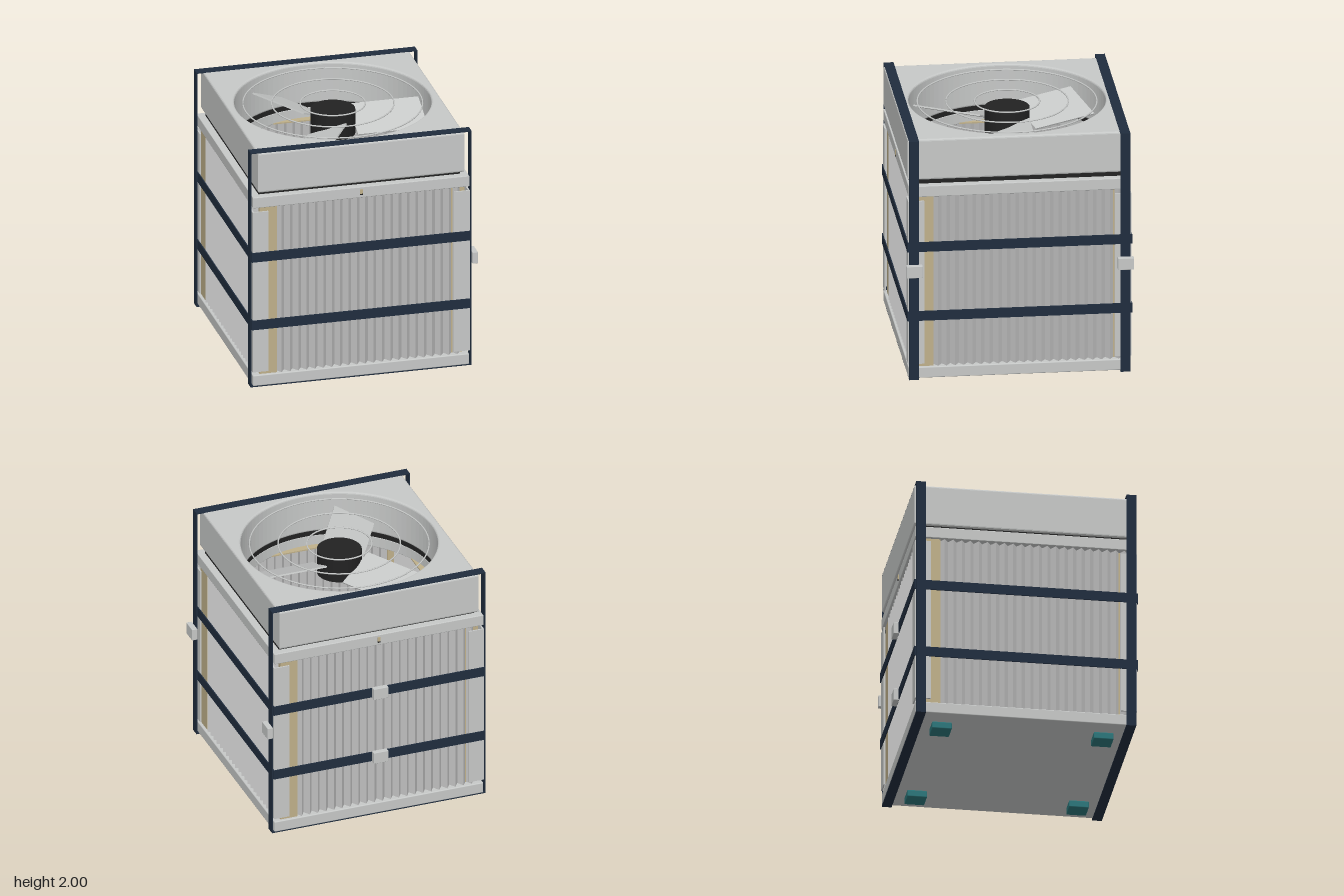
import * as THREE from 'three';
import { RoundedBoxGeometry } from 'three/addons/geometries/RoundedBoxGeometry.js';

const mat = (name, color) => new THREE.MeshStandardMaterial({ name, color });

export function createModel() {
  const casing = mat('casing grey', 0xc6c8c7);
  const fin = mat('aluminium fins', 0xc8c8c8);
  const tan = mat('tan coil frame', 0xbfb08a);
  const navy = mat('navy strap', 0x202d3e);
  const black = mat('black', 0x222222);
  const teal = mat('teal rubber', 0x2c767a);

  const model = new THREE.Group();
  model.name = 'condenserUnit';
  const unit = new THREE.Group();
  unit.name = 'unit';
  unit.position.set(-0.024, 0, 0.01);
  model.add(unit);

  const add = (parent, name, geometry, material) => {
    const mesh = new THREE.Mesh(geometry, material);
    mesh.name = name;
    parent.add(mesh);
    return mesh;
  };
  // Box given by its limits on each axis
  const box = (parent, name, [x0, x1], [y0, y1], [z0, z1], material, r = 0) => {
    const s = [x1 - x0, y1 - y0, z1 - z0];
    const g = r ? new RoundedBoxGeometry(...s, 2, r) : new THREE.BoxGeometry(...s);
    add(parent, name, g, material).position.set((x0 + x1) / 2, (y0 + y1) / 2, (z0 + z1) / 2);
  };
  const rect = (Type, w, h) => new Type([[-w, -h], [w, -h], [w, h], [-w, h]].map(p => new THREE.Vector2(...p)));
  // Upright slab with plan shape, between two heights
  const slab = (parent, name, shape, y0, y1, material, bevel = 0) => {
    const g = new THREE.ExtrudeGeometry(shape, {
      depth: y1 - y0 - 2 * bevel, curveSegments: 48, bevelEnabled: bevel > 0,
      bevelSize: bevel, bevelThickness: bevel, bevelOffset: -bevel, bevelSegments: 3,
    });
    g.rotateX(Math.PI / 2).translate(0, y1 - bevel, 0);
    return add(parent, name, g, material);
  };
  const plateWithBore = (w, d) => {
    const s = rect(THREE.Shape, w, d);
    s.holes.push(new THREE.Path().absarc(0, 0, 0.757, 0, Math.PI * 2, true));
    return s;
  };
  const band = (w, h, t) => {
    const s = rect(THREE.Shape, w, h);
    s.holes.push(rect(THREE.Path, w - t, h - t));
    return s;
  };

  // Base, upper tray, dark neck and fan cowl
  box(unit, 'basePan', [-0.858, 0.858], [0.056, 0.145], [-0.858, 0.858], casing, 0.008);
  slab(unit, 'upperTray', plateWithBore(0.858, 0.858), 1.538, 1.628, casing, 0.006);
  slab(unit, 'neck', plateWithBore(0.8, 0.8), 1.628, 1.665, black);
  slab(unit, 'fanCowl', plateWithBore(0.818, 0.86), 1.662, 1.994, casing, 0.016);

  // Zigzag plan section of one fin panel
  const periods = 22, start = -0.662, step = (0.8 - start) / periods;
  const outer = [], inner = [];
  for (let i = 0; i <= periods * 2; i++) {
    const t = start + i * step / 2, d = (i % 2) * 0.05;
    outer.push(new THREE.Vector2(t, 0.793 + d));
    if (t < 0.7) inner.push(new THREE.Vector2(t, 0.705 + d));
  }
  const finShape = new THREE.Shape([...inner, ...outer.reverse()]);

  // Four sides, each turned a quarter
  for (let k = 0; k < 4; k++) {
    const side = new THREE.Group();
    side.name = 'coilSide';
    side.rotation.y = k * Math.PI / 2;
    unit.add(side);
    slab(side, 'fins', finShape, 0.14, 1.54, fin);
    box(side, 'coilEnd', [-0.8, -0.662], [0.14, 1.545], [0.7, 0.835], tan);
    box(side, 'coilTopRail', [-0.8, 0.7], [1.538, 1.548], [0.7, 0.835], tan);
    for (const s of [-1, 1]) {
      const a = s * 0.737, b = s * 0.862;
      box(side, 'cornerPost', [Math.min(a, b), Math.max(a, b)], [0.174, 1.506], [0.85, 0.862], casing);
    }
    if (k % 2 === 0) {
      box(side, 'tag', [-0.011, 0.011], [1.565, 1.608], [0.855, 0.863], tan);
      box(side, 'tagBase', [-0.011, 0.011], [1.562, 1.572], [0.855, 0.865], black);
    }
  }

  // Fan hub and pitched blades
  add(unit, 'fanHub', new THREE.CylinderGeometry(0.173, 0.173, 0.2, 40), black).position.y = 1.83;
  for (let i = 0; i < 3; i++) {
    const arm = new THREE.Group();
    arm.name = 'fanBlade';
    arm.position.y = 1.82;
    arm.rotation.y = i * Math.PI * 2 / 3;
    unit.add(arm);
    const blade = add(arm, 'blade', new THREE.BoxGeometry(0.558, 0.012, 0.335), casing);
    blade.position.x = 0.439;
    blade.rotation.x = 0.4;
  }

  // Wire guard rings
  for (const r of [0.25, 0.47, 0.69]) {
    const ring = add(unit, 'guardRing', new THREE.TorusGeometry(r, 0.006, 8, 64), casing);
    ring.rotation.x = Math.PI / 2;
    ring.position.y = 1.975;
  }

  // Feet
  for (const x of [-0.628, 0.628]) for (const z of [-0.628, 0.628]) {
    box(unit, 'foot', [x - 0.077, x + 0.077], [0, 0.056], [z - 0.077, z + 0.077], teal, 0.008);
  }

  // Horizontal straps with buckles at the back
  for (const y of [0.568, 1.132]) {
    slab(unit, 'horizontalStrap', band(0.869, 0.869, 0.009), y - 0.039, y + 0.039, navy);
    box(unit, 'backBuckle', [-0.06, 0.06], [y - 0.048, y + 0.048], [-0.905, -0.863], casing, 0.004);
  }

  // Vertical straps with buckles on the left side
  for (const z of [-0.816, 0.816]) {
    const g = new THREE.ExtrudeGeometry(band(0.876, 0.976, 0.008), { depth: 0.076, bevelEnabled: false });
    add(unit, 'verticalStrap', g, navy).position.set(0, 1.024, z - 0.038);
    box(unit, 'sideBuckle', [0.878, 0.922], [0.898, 0.994], [z - 0.062, z + 0.062], casing, 0.004);
  }
  return model;
}
